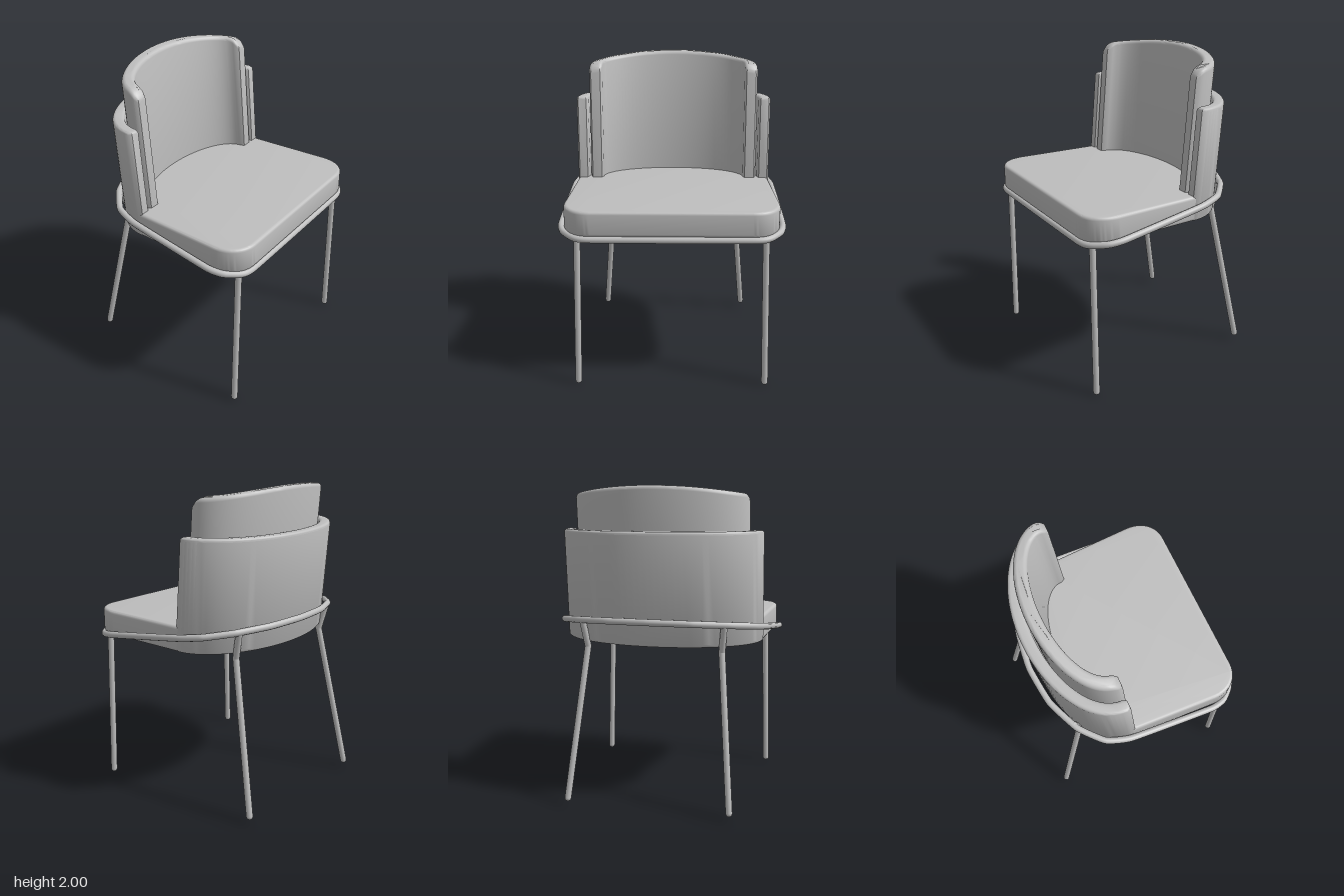
import * as THREE from 'three';
import { toCreasedNormals } from 'three/addons/utils/BufferGeometryUtils.js';

const grey = new THREE.MeshStandardMaterial({ color: 0xbebebe });
grey.name = 'soft grey';

const SEAT_BOTTOM = 1.03, SEAT_TOP = 1.19, ROD = 0.021;

function part(name, geometry) {
  const mesh = new THREE.Mesh(geometry, grey);
  mesh.name = name;
  return mesh;
}

// Extrude a plan outline (x, -z) upwards with softened edges
function slab(shape, y0, y1, bevel) {
  const geo = new THREE.ExtrudeGeometry(shape, {
    depth: y1 - y0 - 2 * bevel, curveSegments: 24, bevelEnabled: true,
    bevelThickness: bevel, bevelSize: bevel, bevelOffset: -bevel, bevelSegments: 4,
  });
  geo.rotateX(-Math.PI / 2);
  geo.translate(0, y0 + bevel, 0);
  return geo;
}

// Move every vertex by a rule, then rebuild the normals
function reshape(geo, rule) {
  const pos = geo.attributes.position, v = new THREE.Vector3();
  for (let i = 0; i < pos.count; i++) {
    rule(v.fromBufferAttribute(pos, i));
    pos.setXYZ(i, v.x, v.y, v.z);
  }
  return toCreasedNormals(geo, 0.6);
}

// Half-elliptical wall outline with rounded ends
function wallShape(a, b, t) {
  const pts = [], n = 48, z0 = 0.15;
  for (let i = 0; i <= n; i++) {
    const w = Math.PI * i / n;
    pts.push(new THREE.Vector2(a * Math.cos(w), z0 + b * Math.sin(w)));
  }
  pts.push(new THREE.Vector2(-a + 0.012, z0 - 0.025), new THREE.Vector2(-a + t - 0.012, z0 - 0.025));
  for (let i = n; i >= 0; i--) {
    const w = Math.PI * i / n;
    pts.push(new THREE.Vector2((a - t) * Math.cos(w), z0 + (b - t) * Math.sin(w)));
  }
  pts.push(new THREE.Vector2(a - t + 0.012, z0 - 0.025), new THREE.Vector2(a - 0.012, z0 - 0.025));
  return new THREE.Shape(pts);
}

// Lean the backrest rearwards with height
const lean = (v) => { v.z -= 0.08 * (v.y - SEAT_TOP); };

// Straight round-ended rod between two points
function rod(name, from, to) {
  const a = new THREE.Vector3(...from), b = new THREE.Vector3(...to);
  const dir = b.clone().sub(a);
  const mesh = part(name, new THREE.CapsuleGeometry(ROD, dir.length(), 4, 14));
  mesh.position.copy(a).add(b).multiplyScalar(0.5);
  mesh.quaternion.setFromUnitVectors(new THREE.Vector3(0, 1, 0), dir.normalize());
  return mesh;
}

export function createModel() {
  const chair = new THREE.Group();
  chair.name = 'chair';

  // Seat cushion: rounded front corners and an arched back
  const s = new THREE.Shape();
  s.moveTo(0.64, 0.15);
  s.lineTo(0.665, -0.41);
  s.bezierCurveTo(0.67, -0.53, 0.6, -0.612, 0.49, -0.612);
  s.lineTo(-0.49, -0.612);
  s.bezierCurveTo(-0.6, -0.612, -0.67, -0.53, -0.665, -0.41);
  s.lineTo(-0.64, 0.15);
  s.absellipse(0, 0.15, 0.64, 0.36, Math.PI, 0, true);
  chair.add(part('seat', reshape(slab(s, SEAT_BOTTOM, SEAT_TOP, 0.02), () => {})));

  // Low outer wall wrapping the back
  chair.add(part('outerBackrest',
    reshape(slab(wallShape(0.645, 0.387, 0.077), SEAT_BOTTOM, 1.73, 0.02), lean)));

  // Tall inner wall: crowned top that rolls down at the front ends
  chair.add(part('innerBackrest',
    reshape(slab(wallShape(0.557, 0.305, 0.085), SEAT_BOTTOM + 0.01, 2.0, 0.025), (v) => {
      if (v.y > 1.5) {
        const end = THREE.MathUtils.clamp((v.z + 0.2) / 0.075, 0, 1);
        v.y -= 0.05 * (v.x / 0.55) ** 2 + 0.045 * end * end;
      }
      lean(v);
    })));

  // Tilted ring of bent rod around the seat
  const frameY = (z) => 1.012 + (0.605 - z) * 0.152;
  const half = [[0.5, 0.602], [0.6, 0.572], [0.665, 0.5], [0.688, 0.4], [0.668, -0.16],
    [0.62, -0.32], [0.48, -0.45], [0.26, -0.545]];
  const plan = [...half, [0, -0.575], ...half.map(([x, z]) => [-x, z]).reverse()];
  const ring = new THREE.CatmullRomCurve3(
    plan.map(([x, z]) => new THREE.Vector3(x, frameY(z), z)), true, 'catmullrom', 0.2);
  chair.add(part('frameRing', new THREE.TubeGeometry(ring, 200, ROD, 12, true)));

  // Legs, mirrored left and right
  for (const [side, k] of [['left', 1], ['right', -1]]) {
    const knee = [k * 0.43, 1.0, -0.42];
    chair.add(
      rod(side + 'FrontLeg', [k * 0.575, 1.015, 0.55], [k * 0.6, ROD, 0.55]),
      rod(side + 'RearLeg', knee, [k * 0.518, 0.046, -0.607]),
      rod(side + 'RearLegBracket', knee, [k * 0.45, frameY(-0.465), -0.462]));
  }
  return chair;
}
